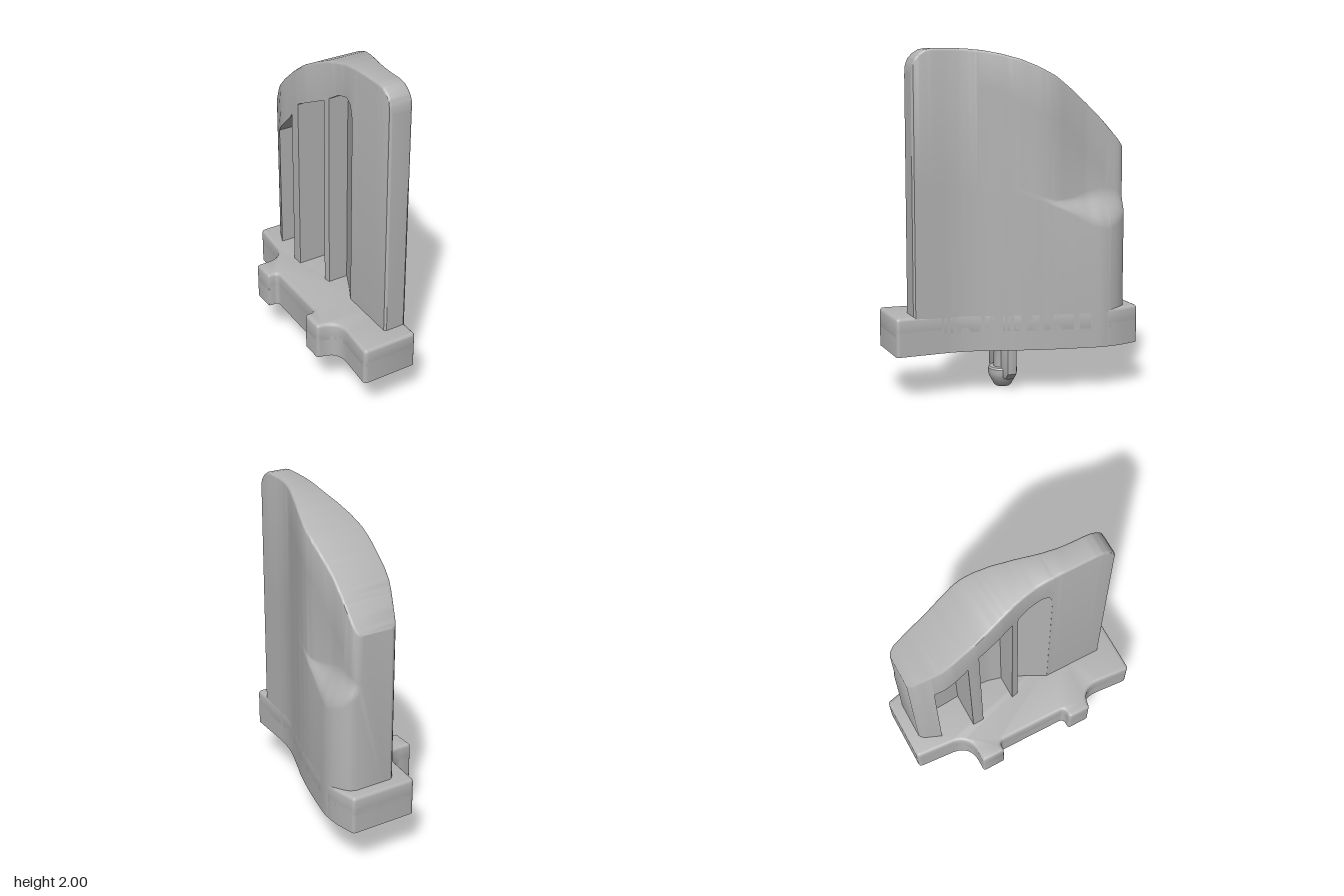
import * as THREE from 'three';
import { toCreasedNormals } from 'three/addons/utils/BufferGeometryUtils.js';

// piecewise-linear curve through [z, value] pairs
const curve = (pts) => (z) => {
  if (z <= pts[0][0]) return pts[0][1];
  for (let i = 1; i < pts.length; i++) {
    const [a, va] = pts[i - 1], [b, vb] = pts[i];
    if (z <= b) return va + (vb - va) * (z - a) / (b - a);
  }
  return pts[pts.length - 1][1];
};

// blade plan and heights, all as functions of z
const inner = curve([[-0.645, 0.01], [-0.635, -0.006], [-0.62, -0.02], [-0.5, -0.07], [-0.46, -0.084], [-0.41, -0.09], [-0.26, -0.09],
  [-0.18, -0.081], [-0.1, -0.066], [0, -0.044], [0.08, -0.031], [0.15, -0.026], [0.6, -0.031], [0.61, -0.018]]);
const front = [[0.05, 0.2], [0.12, 0.177], [0.2, 0.149], [0.26, 0.132], [0.33, 0.118], [0.4, 0.112], [0.5, 0.11], [0.6, 0.108], [0.61, 0.095]];
const outerLow = curve([[-0.645, 0.235], [-0.63, 0.268], [-0.6, 0.295], [-0.57, 0.312], [-0.53, 0.326], [-0.49, 0.33], [-0.46, 0.329],
  [-0.42, 0.322], [-0.3, 0.297], [-0.2, 0.275], [-0.1, 0.249], [0, 0.219], ...front]);
const outerHigh = curve([[-0.645, 0.21], [-0.635, 0.23], [-0.61, 0.243], [-0.55, 0.243], [-0.4, 0.241], [-0.3, 0.251], [-0.22, 0.259],
  [-0.16, 0.258], [-0.1, 0.247], [0, 0.218], ...front]);
const scoopLow = curve([[-0.645, 1.06], [-0.6, 1.0], [-0.5, 0.96], [-0.4, 0.99], [-0.3, 1.05], [-0.2, 1.1], [0.05, 1.2]]);
const scoopHigh = curve([[-0.645, 1.14], [-0.6, 1.18], [-0.5, 1.2], [-0.4, 1.18], [-0.3, 1.15], [-0.2, 1.14], [0.05, 1.23]]);
const top = curve([[-0.645, 1.425], [-0.6, 1.48], [-0.5, 1.59], [-0.4, 1.685], [-0.3, 1.77], [-0.2, 1.845], [-0.1, 1.898], [0, 1.94],
  [0.1, 1.968], [0.2, 1.988], [0.3, 1.998], [0.38, 2], [0.49, 2], [0.53, 1.993], [0.565, 1.972], [0.59, 1.945], [0.605, 1.91], [0.61, 1.87]]);
const ceiling = curve([[-0.52, 1.29], [-0.34, 1.46], [-0.31, 1.5], [-0.24, 1.59], [-0.03, 1.69], [0.02, 1.72], [0.1, 1.77],
  [0.18, 1.79], [0.22, 1.76], [0.238, 1.68]]);
const pocketWall = curve([[-0.52, 0.11], [-0.4, 0.115], [-0.2, 0.13], [-0.1, 0.12], [0, 0.092], [0.121, 0.036], [0.238, -0.026]]);
const bottom = () => 0.27;

// side surface: wider below the scoop, narrower above it
const outer = (y, z) => {
  const t = THREE.MathUtils.smoothstep(y, scoopLow(z), scoopHigh(z));
  return THREE.MathUtils.lerp(outerLow(z), outerHigh(z), t);
};

// loft upright sections along z
const EXTRA = [-0.635, -0.63, -0.62, 0.49, 0.51, 0.53, 0.55, 0.565, 0.58, 0.59, 0.6, 0.605];
function loft(z0, z1, left, low, high, right = outer, round = 0) {
  const n = Math.max(1, Math.round((z1 - z0) / 0.02));
  const zs = Array.from({ length: n + 1 }, (_, i) => z0 + (z1 - z0) * i / n);
  zs.push(...EXTRA.filter((z) => z > z0 && z < z1 && !zs.some((v) => Math.abs(v - z) < 1e-4)));
  zs.sort((a, b) => a - b);
  const pos = [], idx = [];
  let m = 0;
  for (const z of zs) {
    const xl = left(z), yb = low(z), yt = high(z), ring = [[xl, yb], [right(yb, z), yb]];
    for (let k = 0; k <= 8; k++) {
      const y = THREE.MathUtils.lerp(scoopLow(z), scoopHigh(z), k / 8);
      const yc = THREE.MathUtils.clamp(y, yb, yt - round);
      ring.push([right(yc, z), yc]);
    }
    const xr = right(yt, z);
    for (const a of [0, 30, 60, 90]) {
      const r = THREE.MathUtils.degToRad(a);
      ring.push([xr - round * (1 - Math.cos(r)), yt - round * (1 - Math.sin(r))]);
    }
    for (const a of [90, 60, 30, 0]) {
      const r = THREE.MathUtils.degToRad(a);
      ring.push([xl + round * (1 - Math.cos(r)), yt - round * (1 - Math.sin(r))]);
    }
    m = ring.length;
    ring.forEach(([x, y]) => pos.push(x, y, z));
  }
  for (let i = 0; i < zs.length - 1; i++) {
    for (let j = 0; j < m; j++) {
      const a = i * m + j, b = i * m + (j + 1) % m;
      idx.push(a, b, b + m, a, b + m, a + m);
    }
  }
  // flat end caps
  const last = (zs.length - 1) * m;
  const caps = [[0, true], [last, false]];
  for (const [s, back] of caps) {
    const ring = Array.from({ length: m }, (_, j) => new THREE.Vector2(pos[(s + j) * 3], pos[(s + j) * 3 + 1]));
    for (const [a, b, c] of THREE.ShapeUtils.triangulateShape(ring, [])) {
      if (back) idx.push(s + a, s + c, s + b);
      else idx.push(s + a, s + b, s + c);
    }
  }
  // drop collapsed triangles and orient the walls outward
  const g = new THREE.BufferGeometry();
  g.setAttribute('position', new THREE.Float32BufferAttribute(pos, 3));
  const P = (i) => new THREE.Vector3().fromArray(pos, i * 3);
  const keep = [];
  for (let i = 0; i < idx.length; i += 3) {
    const [a, b, c] = [P(idx[i]), P(idx[i + 1]), P(idx[i + 2])];
    if (b.sub(a).cross(c.sub(a)).length() > 1e-9) keep.push(idx[i], idx[i + 1], idx[i + 2]);
  }
  g.setIndex(keep);
  return toCreasedNormals(g, 0.6);
}

// base plan, drawn with shape y = -z
function baseShape() {
  const s = new THREE.Shape();
  const L = (x, z) => s.lineTo(x, -z);
  const Q = (cx, cz, x, z) => s.quadraticCurveTo(cx, -cz, x, -z);
  s.moveTo(-0.23, 0.69 * -1);
  Q(-0.23, 0.715, -0.205, 0.715);
  L(0.09, 0.715);
  Q(0.11, 0.715, 0.11, 0.69);
  for (let z = 0.45; z > -0.5; z -= 0.05) L(outerLow(z), z);
  Q(0.332, -0.54, 0.322, -0.6);
  L(0.3, -0.695);
  Q(0.296, -0.715, 0.275, -0.715);
  L(-0.085, -0.715);
  Q(-0.108, -0.715, -0.11, -0.69);
  L(-0.127, -0.48);
  Q(-0.145, -0.375, -0.25, -0.372);
  L(-0.31, -0.372);
  Q(-0.325, -0.372, -0.325, -0.355);
  L(-0.325, -0.24);
  Q(-0.325, -0.226, -0.31, -0.226);
  L(-0.29, -0.226);
  Q(-0.262, -0.224, -0.262, -0.195);
  L(-0.268, 0.2);
  Q(-0.27, 0.228, -0.3, 0.23);
  L(-0.32, 0.23);
  Q(-0.335, 0.232, -0.335, 0.25);
  L(-0.335, 0.355);
  Q(-0.335, 0.372, -0.315, 0.374);
  Q(-0.205, 0.385, -0.213, 0.5);
  return s;
}

export function createModel() {
  const model = new THREE.Group();
  const grey = new THREE.MeshStandardMaterial({ color: 0xb4b4b4 });
  grey.name = 'grey plastic';
  const add = (name, geometry) => {
    const mesh = new THREE.Mesh(geometry, grey);
    mesh.name = name;
    model.add(mesh);
    return mesh;
  };

  // base: plain slab with a softly rounded upper rim
  const shape = baseShape();
  const slab = new THREE.ExtrudeGeometry(shape, { depth: 0.14, bevelEnabled: false, curveSegments: 8 });
  add('baseSlab', toCreasedNormals(slab.rotateX(-Math.PI / 2).translate(0, 0.27, 0), 0.6));
  const rim = new THREE.ExtrudeGeometry(shape, {
    depth: 0.09, bevelThickness: 0.02, bevelSize: 0.02, bevelOffset: -0.02, bevelSegments: 3, curveSegments: 8,
  });
  add('baseRim', toCreasedNormals(rim.rotateX(-Math.PI / 2).translate(0, 0.385, 0), 0.6));

  // blade: solid ends, outer skin and roof around the open pockets
  add('bladeBack', loft(-0.645, -0.52, inner, bottom, top, outer, 0.015));
  add('bladeFront', loft(0.238, 0.61, inner, bottom, top, outer, 0.015));
  add('bladeSkin', loft(-0.52, 0.238, pocketWall, bottom, ceiling));
  add('bladeRoof', loft(-0.52, 0.238, inner, ceiling, top, outer, 0.015));

  // ribs dividing the pockets
  const ribEnd = (y, z) => pocketWall(z) + 0.02;
  for (const [name, a, b] of [['backRib', -0.315, -0.245], ['frontRib', -0.02, 0.02]]) {
    add(name, loft(a, b, inner, bottom, ceiling, ribEnd));
  }

  // snap peg below the base
  const profile = [[0, 0], [0.042, 0], [0.052, 0.008], [0.08, 0.06], [0.086, 0.08], [0.086, 0.108], [0.078, 0.118], [0.055, 0.12],
    [0.055, 0.215], [0.062, 0.242], [0.078, 0.262], [0.105, 0.272]].map(([x, y]) => new THREE.Vector2(x, y));
  add('snapPeg', toCreasedNormals(new THREE.LatheGeometry(profile, 40), 0.6)).position.set(-0.038, 0, 0.01);

  // cross fin through the peg
  const fin = new THREE.Shape([[-0.19, 0.28], [-0.19, 0.1], [-0.15, 0.06], [0.075, 0.06], [0.115, 0.1], [0.115, 0.28]]
    .map(([x, y]) => new THREE.Vector2(x, y)));
  const finGeo = new THREE.ExtrudeGeometry(fin, {
    depth: 0.04, bevelThickness: 0.01, bevelSize: 0.01, bevelOffset: -0.01, bevelSegments: 2,
  });
  add('pegFin', toCreasedNormals(finGeo, 0.6)).position.z = -0.01;

  return model;
}
